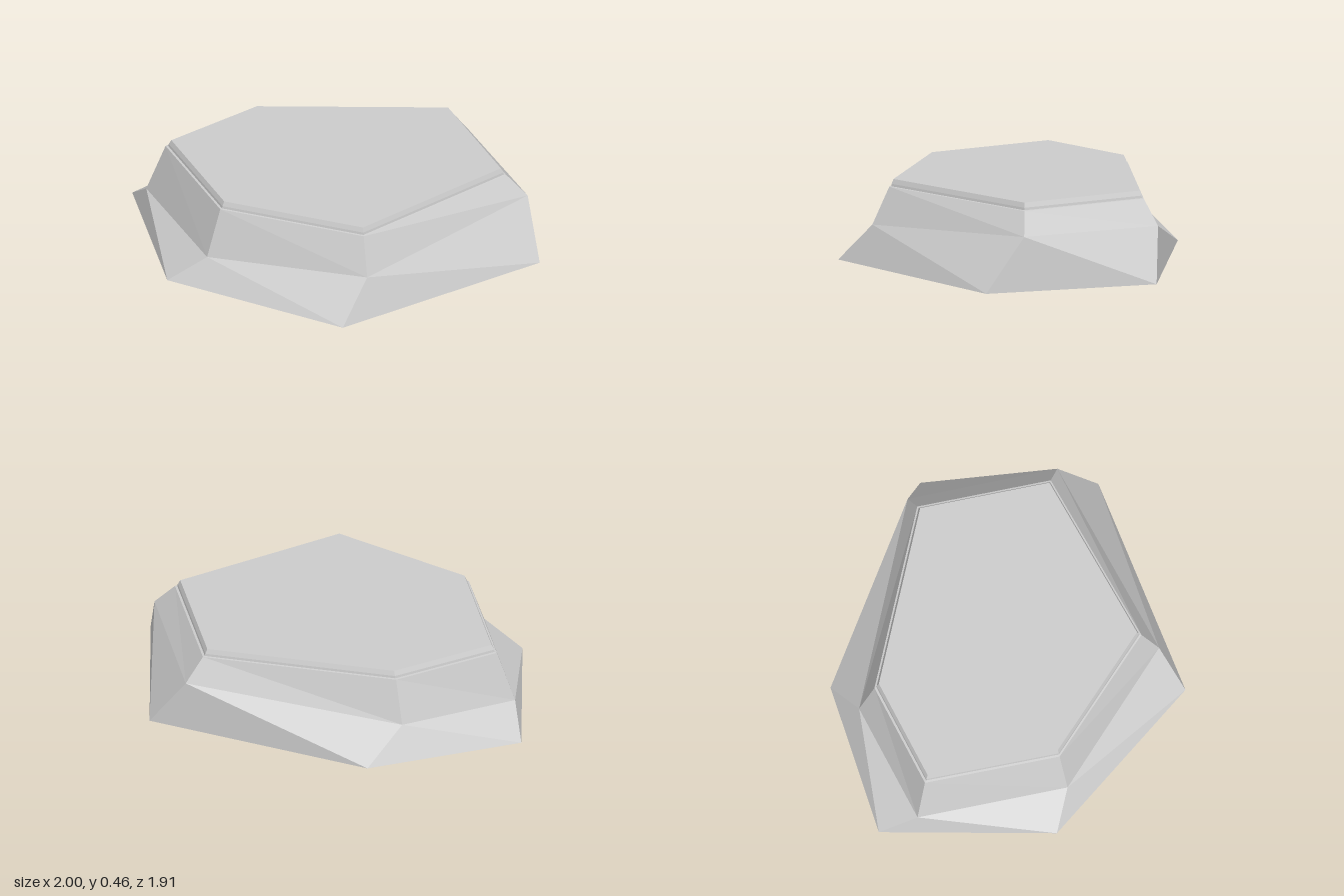
import * as THREE from 'three';

// Hexagonal cross-sections, listed as [x, y, z] clockwise from the back corner
const base = [[-0.175, 0, -0.955], [1, 0, -0.48], [1, 0, 0.477], [-0.175, 0, 0.953], [-1, 0, 0.267], [-1, 0, -0.69]];
const waist = [[-0.36, 0.18, -0.8], [0.805, 0.28, -0.547], [0.978, 0.295, 0.257], [-0.013, 0.213, 0.81], [-0.793, 0.152, 0.323], [-0.965, 0.14, -0.482]];
const shoulder = [[-0.327, 0.415, -0.718], [0.713, 0.415, -0.495], [0.868, 0.415, 0.222], [-0.013, 0.415, 0.715], [-0.712, 0.415, 0.28], [-0.867, 0.415, -0.443]];

// Shoulder outline shrunk towards the centre at a new height
const inset = (s, y) => shoulder.map(([x, , z]) => [x * s, y, z * s]);

// Skin a stack of rings, with optional flat ends
function loft(rings, bottom, top) {
  const pos = [];
  const tri = (...corners) => corners.forEach((c) => pos.push(...c));
  const n = rings[0].length;
  for (let r = 0; r < rings.length - 1; r++) {
    const lo = rings[r], hi = rings[r + 1];
    for (let i = 0; i < n; i++) {
      const j = (i + 1) % n;
      tri(lo[j], lo[i], hi[j]);
      tri(lo[i], hi[i], hi[j]);
    }
  }
  const first = rings[0], last = rings[rings.length - 1];
  for (let i = 1; i < n - 1; i++) {
    if (bottom) tri(first[0], first[i], first[i + 1]);
    if (top) tri(last[0], last[i + 1], last[i]);
  }
  const geometry = new THREE.BufferGeometry();
  geometry.setAttribute('position', new THREE.Float32BufferAttribute(pos, 3));
  geometry.computeVertexNormals();
  return geometry;
}

export function createModel() {
  const group = new THREE.Group();
  group.name = 'hexagonalRock';
  const material = new THREE.MeshStandardMaterial({ color: 0xcccccc, flatShading: true });
  const add = (name, geometry) => {
    const mesh = new THREE.Mesh(geometry, material);
    mesh.name = name;
    group.add(mesh);
  };

  // Irregular sloping body with a flat underside
  add('rockBody', loft([base, waist, shoulder], true, false));

  // Narrow ledge, then a raised slab with slightly tapered sides
  add('topSlab', loft([shoulder, inset(0.985, 0.417), inset(0.982, 0.43), inset(0.967, 0.456)], false, true));
  return group;
}
